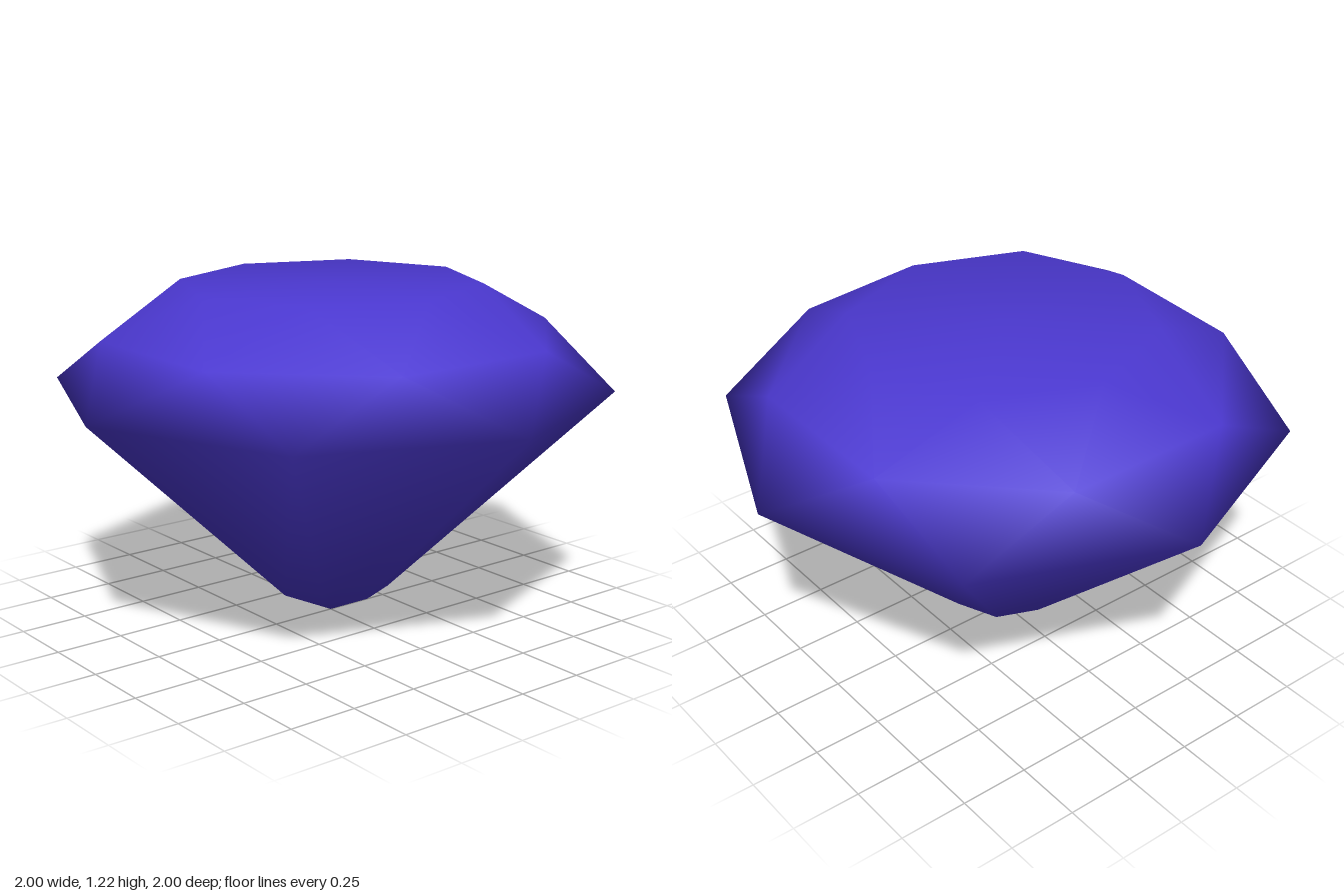
import * as THREE from 'three';

const SIDES = 8;

export function createModel() {
  const group = new THREE.Group();
  group.name = 'gem';
  const violet = new THREE.MeshStandardMaterial({ color: 0x4b38d0 });
  violet.name = 'violet';

  const positions = [];
  const index = [];

  // Adds a ring of corners and returns a lookup that wraps around
  const ring = (rx, rz, y, turn = 0) => {
    const start = positions.length / 3;
    for (let i = 0; i < SIDES; i++) {
      const a = ((i + turn) / SIDES) * Math.PI * 2;
      positions.push(Math.sin(a) * rx, y, Math.cos(a) * rz);
    }
    return (i) => start + ((i + SIDES) % SIDES);
  };
  const point = (y) => {
    positions.push(0, y, 0);
    return positions.length / 3 - 1;
  };
  const tri = (a, b, c) => index.push(a, b, c);

  const table = ring(0.525, 0.545, 1.22);
  const crown = ring(0.815, 0.815, 1.05, 0.5);
  const girdle = ring(1, 1, 0.85);
  const base = ring(0.21, 0.21, 0.1);
  const top = point(1.22);
  const tip = point(0);

  for (let i = 0; i < SIDES; i++) {
    // flat table
    tri(top, table(i), table(i + 1));
    // star facet, and the two halves of the kite facet
    tri(crown(i), table(i + 1), table(i));
    tri(table(i), crown(i - 1), crown(i));
    tri(girdle(i), crown(i), crown(i - 1));
    // facet along the girdle
    tri(girdle(i), girdle(i + 1), crown(i));
    // pavilion facet
    tri(base(i), base(i + 1), girdle(i + 1));
    tri(base(i), girdle(i + 1), girdle(i));
    // pointed tip
    tri(tip, base(i + 1), base(i));
  }

  const geometry = new THREE.BufferGeometry();
  geometry.setAttribute('position', new THREE.Float32BufferAttribute(positions, 3));
  geometry.setIndex(index);
  geometry.computeVertexNormals();

  const stone = new THREE.Mesh(geometry, violet);
  stone.name = 'cutStone';
  group.add(stone);
  return group;
}
